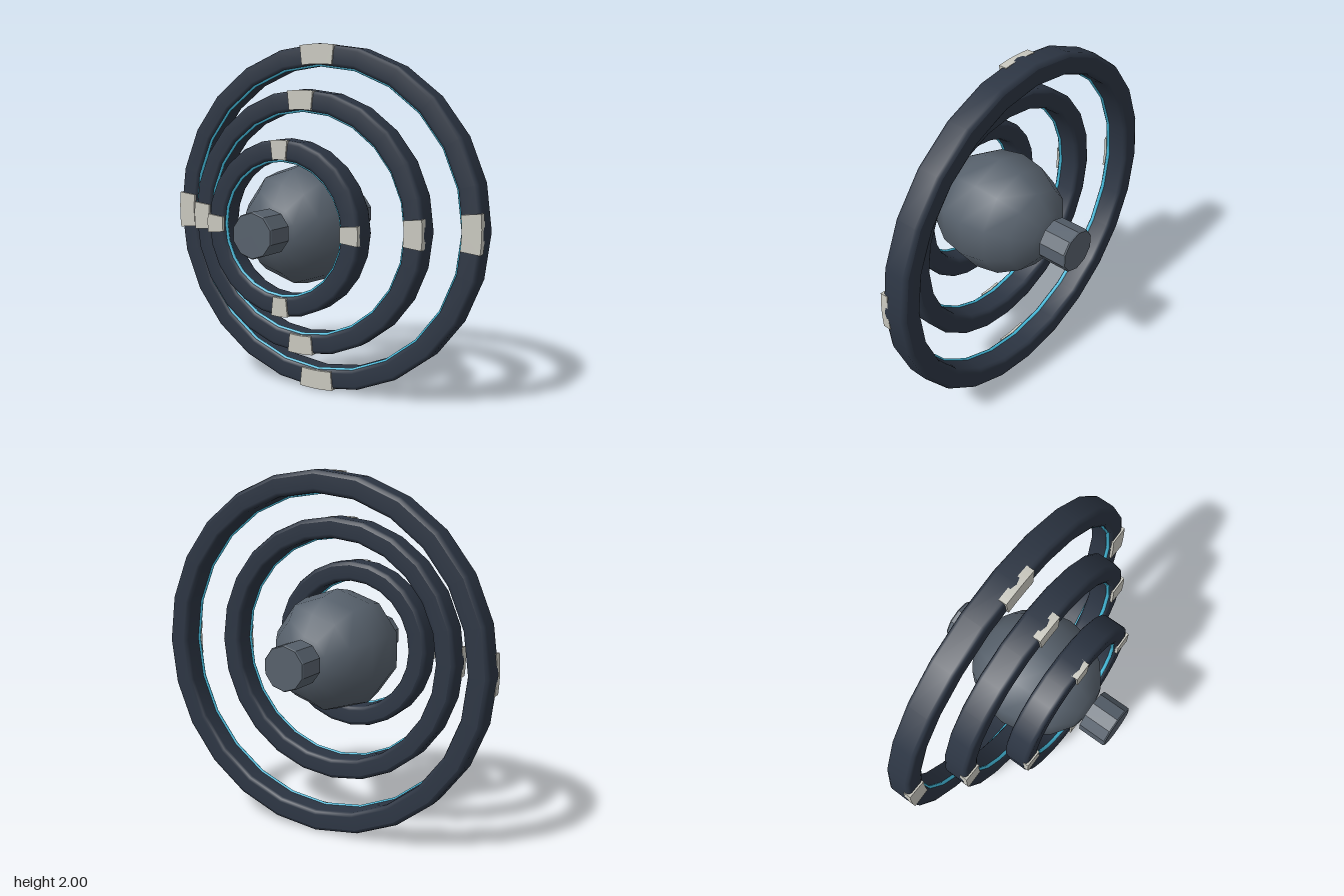
import * as THREE from 'three';

const mat = (color, extra = {}) => new THREE.MeshStandardMaterial({ color, ...extra });
const SEGMENTS = 24;

// Ring around the z axis with a rounded rectangular cross-section
function ringGeometry(outer, inner, halfDepth, bevel) {
  const corners = [
    [outer - bevel, -halfDepth + bevel, -90], [outer - bevel, halfDepth - bevel, 0],
    [inner + bevel, halfDepth - bevel, 90], [inner + bevel, -halfDepth + bevel, 180],
  ];
  const profile = [];
  for (const [x, y, start] of corners) {
    for (let i = 0; i <= 2; i++) {
      const a = THREE.MathUtils.degToRad(start + i * 45);
      profile.push(new THREE.Vector2(x + bevel * Math.cos(a), y + bevel * Math.sin(a)));
    }
  }
  profile.push(profile[0].clone());
  return new THREE.LatheGeometry(profile, SEGMENTS).rotateX(Math.PI / 2);
}

// Curved plate covering a short arc of a ring's front
function clipGeometry(outer, inner, halfAngle, depth) {
  const shape = new THREE.Shape();
  shape.absarc(0, 0, outer, -halfAngle, halfAngle, false);
  shape.absarc(0, 0, inner, halfAngle, -halfAngle, true);
  return new THREE.ExtrudeGeometry(shape, { depth, bevelEnabled: false, curveSegments: 4 });
}

export function createModel() {
  const model = new THREE.Group();
  const ringMat = mat(0x2c3543);
  const glowMat = mat(0x45bbdc);
  const clipMat = mat(0xc9c8bf);
  const coreMat = mat(0x57616c);
  const pegMat = mat(0x57616c, { flatShading: true });

  const add = (parent, name, geometry, material) => {
    const mesh = new THREE.Mesh(geometry, material);
    mesh.name = name;
    parent.add(mesh);
    return mesh;
  };

  // Core ball, stretched along z
  const core = new THREE.SphereGeometry(1, 10, 8).rotateY(Math.PI / 2).rotateX(Math.PI / 2);
  add(model, 'core', core, coreMat).scale.set(0.345, 0.345, 0.38);

  // Axle pegs at front and back, with a small chamfer at the free end
  for (const side of [1, -1]) {
    const profile = [[0, 0], [0.124, 0], [0.124, 0.16], [0.119, 0.167], [0, 0.167]]
      .map(([x, y]) => new THREE.Vector2(x, y));
    const peg = add(model, side > 0 ? 'frontPeg' : 'backPeg',
      new THREE.LatheGeometry(profile, 10).rotateX(side * Math.PI / 2), pegMat);
    peg.position.z = side * 0.382;
  }

  // Three staggered rings, each with a bright inner band and four clips
  const rings = [
    ['outerRing', 1.0, 0.88, -0.175],
    ['middleRing', 0.745, 0.63, 0],
    ['innerRing', 0.483, 0.37, 0.212],
  ];
  for (const [name, outer, inner, z] of rings) {
    const ring = new THREE.Group();
    ring.name = name;
    ring.position.z = z;
    model.add(ring);
    add(ring, 'ringBody', ringGeometry(outer, inner, 0.074, 0.022), ringMat);
    add(ring, 'glowBand', new THREE.TorusGeometry(inner + 0.003, 0.011, 6, SEGMENTS), glowMat).position.z = 0.05;
    for (let i = 0; i < 4; i++) {
      const clip = add(ring, 'clip', clipGeometry(outer - 0.004, inner + 0.005, 0.11, 0.045), clipMat);
      clip.position.z = 0.039;
      clip.rotation.z = i * Math.PI / 2;
    }
  }

  model.children.forEach((part) => { part.position.y = 1; });
  return model;
}
